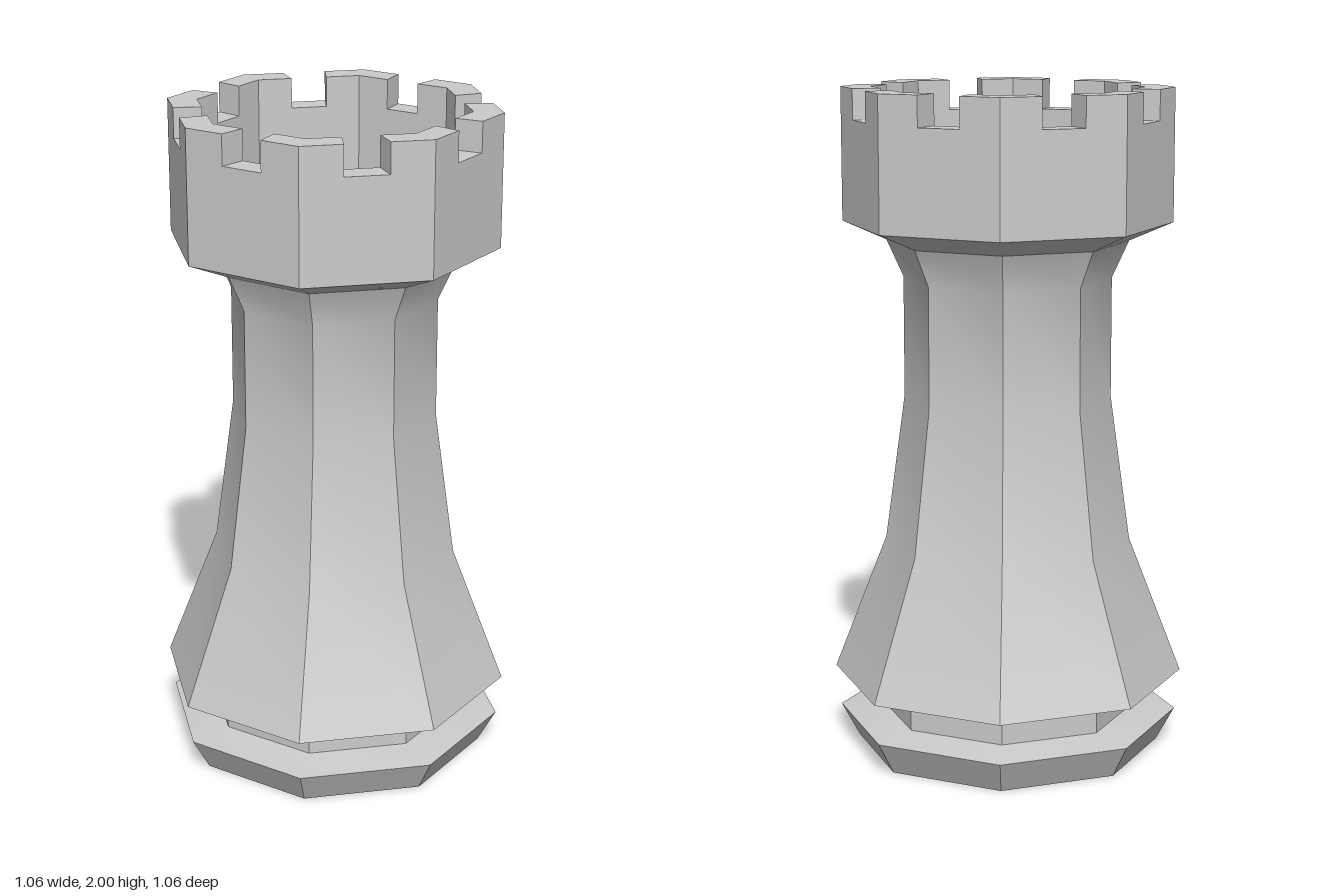
import * as THREE from 'three';
import { toCreasedNormals } from 'three/addons/utils/BufferGeometryUtils.js';

const SIDES = 8;
const material = new THREE.MeshStandardMaterial({ color: 0xcccccc });

// Eight-sided turned part from a [radius, height] profile, listed from bottom to top
function turned(name, profile) {
  const points = profile.map(([r, y]) => new THREE.Vector2(r, y));
  const geometry = toCreasedNormals(new THREE.LatheGeometry(points, SIDES), 0.5);
  const mesh = new THREE.Mesh(geometry, material);
  mesh.name = name;
  return mesh;
}

// Point on an octagon's edge, at an angle measured from one of its corners
function octagonPoint(radius, angle) {
  const half = Math.PI / SIDES;
  const r = radius * Math.cos(half) / Math.cos(half - Math.abs(angle));
  return new THREE.Vector2(r * Math.cos(angle), r * Math.sin(angle));
}

export function createModel() {
  const model = new THREE.Group();
  model.name = 'rook';

  const outer = 0.49, inner = 0.402;
  const notchFloor = 1.91, top = 2;

  // Foot with a narrow neck above it
  model.add(turned('base', [
    [0, 0], [0.46, 0], [0.515, 0.1], [0.39, 0.115], [0.39, 0.18],
  ]));

  // Flared skirt and tapering column
  model.add(turned('column', [
    [0.39, 0.18], [0.53, 0.225], [0.37, 0.64], [0.31, 1.08], [0.31, 1.44], [0.36, 1.55],
  ]));

  // Hollow crown up to the floor of the notches
  model.add(turned('crown', [
    [0.36, 1.55], [outer, 1.605], [outer, notchFloor], [inner, notchFloor], [inner, 1.67], [0, 1.67],
  ]));

  // Battlements, one wrapped around each corner
  const spread = THREE.MathUtils.degToRad(14.4);
  const shape = new THREE.Shape([
    octagonPoint(outer, -spread), octagonPoint(outer, 0), octagonPoint(outer, spread),
    octagonPoint(inner, spread), octagonPoint(inner, 0), octagonPoint(inner, -spread),
  ]);
  const merlonGeometry = new THREE.ExtrudeGeometry(shape, { depth: top - notchFloor, bevelEnabled: false });
  merlonGeometry.rotateX(-Math.PI / 2);
  const battlements = new THREE.Group();
  battlements.name = 'battlements';
  for (let i = 0; i < SIDES; i++) {
    const merlon = new THREE.Mesh(merlonGeometry, material);
    merlon.name = 'merlon' + (i + 1);
    merlon.position.y = notchFloor;
    merlon.rotation.y = (i * 2 * Math.PI) / SIDES;
    battlements.add(merlon);
  }
  model.add(battlements);

  return model;
}
